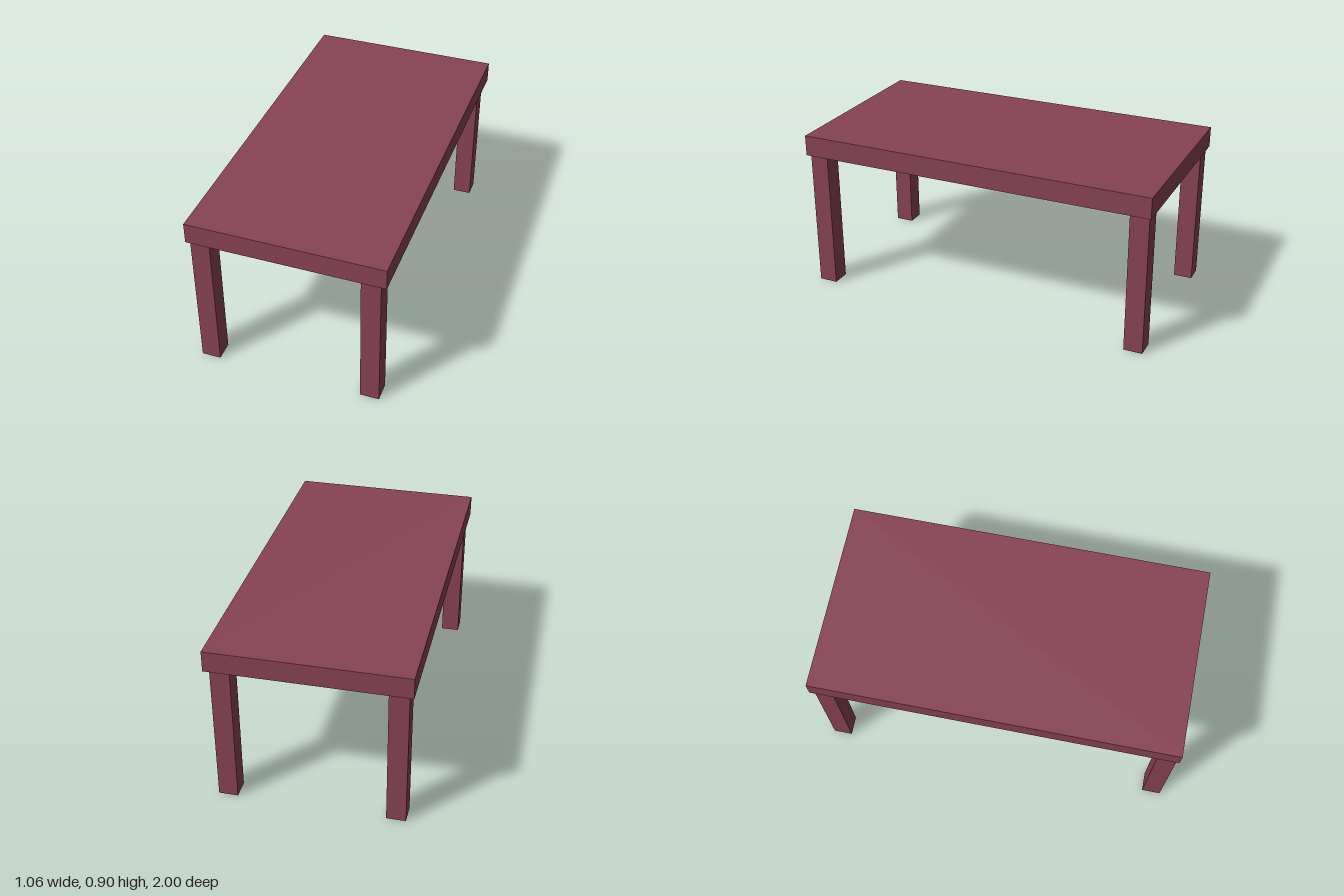
import * as THREE from 'three';

export function createModel() {
  const table = new THREE.Group();
  table.name = 'table';
  const material = new THREE.MeshStandardMaterial({ color: 0x884353, flatShading: true });

  function addBox(name, width, height, depth, x, bottom, z) {
    const mesh = new THREE.Mesh(new THREE.BoxGeometry(width, height, depth), material);
    mesh.name = name;
    mesh.position.set(x, bottom + height / 2, z);
    table.add(mesh);
  }

  const legHeight = 0.79;
  const legWidth = 0.104;

  // Slab top
  addBox('tableTop', 1.06, 0.115, 2, 0, legHeight, 0);

  // Four square legs, set very slightly off centre under the top
  for (const [side, x] of [['Left', 0.448], ['Right', -0.456]]) {
    for (const [end, z] of [['front', 0.938], ['back', -0.933]]) {
      addBox(`${end}${side}Leg`, legWidth, legHeight, legWidth, x, 0, z);
    }
  }
  return table;
}
